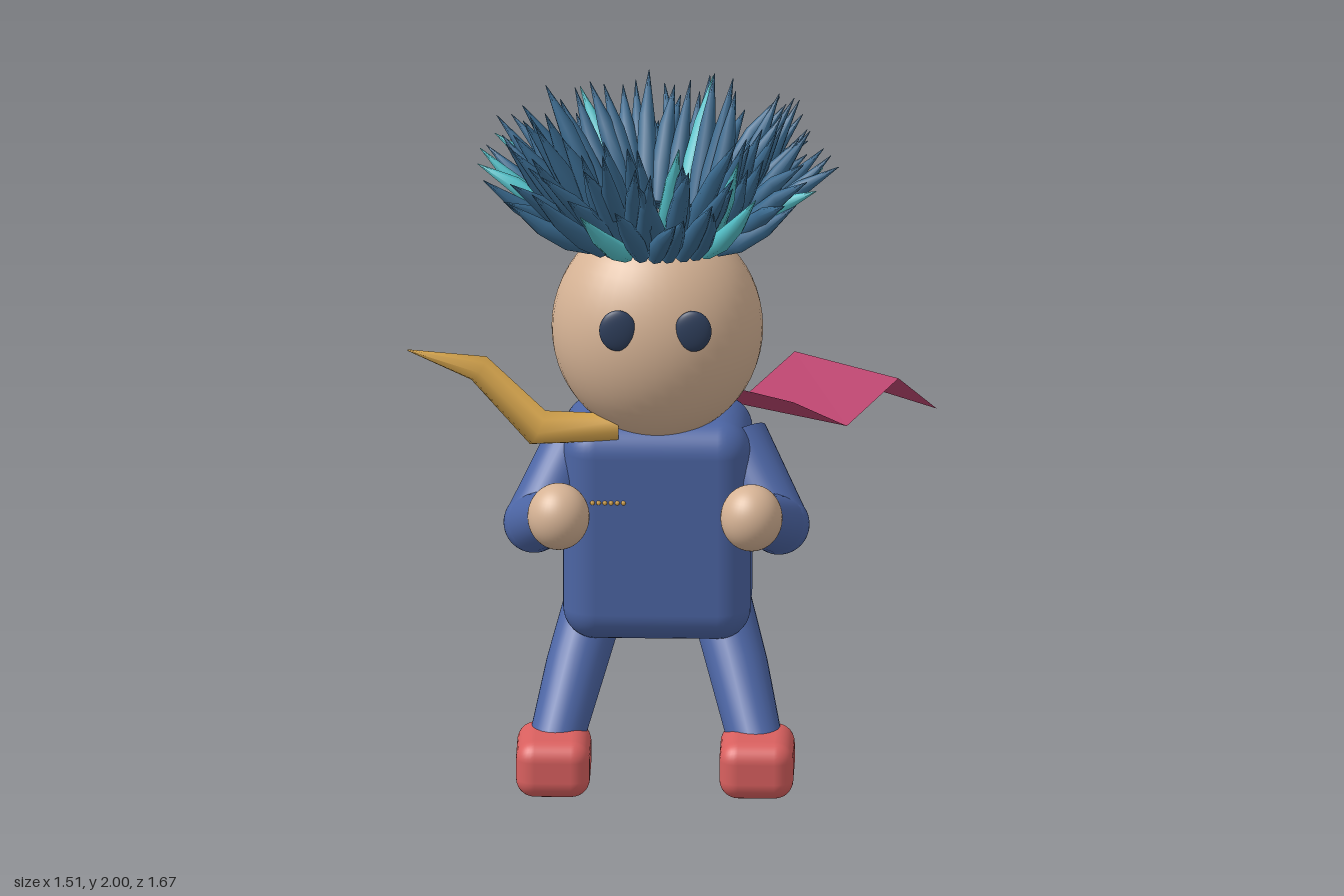
import * as THREE from 'three';
import { RoundedBoxGeometry } from 'three/addons/geometries/RoundedBoxGeometry.js';

const CX = -0.035; // mirror plane of the body

function mat(name, color, side = THREE.FrontSide) {
  const m = new THREE.MeshStandardMaterial({ color, side });
  m.name = name;
  return m;
}

// Sweeps a round section with varying radius along a polyline, with caps
function sweep(points, radii, sides = 16) {
  const pts = points.map((p) => new THREE.Vector3(...p));
  const n = pts.length;
  const dir = pts[n - 1].clone().sub(pts[0]);
  const abs = [Math.abs(dir.x), Math.abs(dir.y), Math.abs(dir.z)];
  const ref = new THREE.Vector3().setComponent(abs.indexOf(Math.min(...abs)), 1);
  const pos = [], idx = [];
  const rings = pts.map((p, i) => {
    const t = new THREE.Vector3();
    if (i > 0) t.add(p.clone().sub(pts[i - 1]).normalize());
    if (i < n - 1) t.add(pts[i + 1].clone().sub(p).normalize());
    t.normalize();
    const u = ref.clone().addScaledVector(t, -ref.dot(t)).normalize();
    const v = t.clone().cross(u);
    const ring = [];
    for (let j = 0; j < sides; j++) {
      const a = (j / sides) * Math.PI * 2;
      ring.push(p.clone().addScaledVector(u, Math.cos(a) * radii[i]).addScaledVector(v, Math.sin(a) * radii[i]));
    }
    return ring;
  });
  rings.forEach((r) => r.forEach((q) => pos.push(q.x, q.y, q.z)));
  for (let i = 0; i < n - 1; i++) {
    for (let j = 0; j < sides; j++) {
      const k = (j + 1) % sides;
      const a = i * sides + j, b = i * sides + k;
      idx.push(a, b, a + sides, b, b + sides, a + sides);
    }
  }
  for (const end of [0, n - 1]) {
    const base = pos.length / 3;
    rings[end].forEach((q) => pos.push(q.x, q.y, q.z));
    for (let j = 1; j < sides - 1; j++) {
      if (end === 0) idx.push(base, base + j + 1, base + j);
      else idx.push(base, base + j, base + j + 1);
    }
  }
  const g = new THREE.BufferGeometry();
  g.setAttribute('position', new THREE.Float32BufferAttribute(pos, 3));
  g.setIndex(idx);
  g.computeVertexNormals();
  return g;
}

export function createModel() {
  const model = new THREE.Group();
  model.name = 'figure';
  const skin = mat('skin', 0xd6b395);
  const blue = mat('suit blue', 0x4c65a4);
  const red = mat('shoe red', 0xd9605f);
  const gold = mat('gold', 0xdaa84f);
  const pink = mat('scarf pink', 0xb9446e, THREE.DoubleSide);
  const navy = mat('eye navy', 0x2f3f5c);
  const grey = mat('pad grey', 0xc9c4bb);
  const hairBlue = mat('hair blue', 0x3a6a8f);
  const hairCyan = mat('hair cyan', 0x55c2ca);

  function add(name, geometry, material, p = [0, 0, 0], s = [1, 1, 1], parent = model) {
    const m = new THREE.Mesh(geometry, material);
    m.name = name;
    m.position.set(...p);
    m.scale.set(...s);
    parent.add(m);
    return m;
  }

  // Head and torso
  const ball = new THREE.SphereGeometry(1, 40, 28);
  add('head', ball, skin, [CX, 1.335, 0.358], [0.307, 0.33, 0.26]);
  add('torso', new RoundedBoxGeometry(0.545, 0.665, 0.4, 5, 0.095), blue, [CX, 0.733, 0.3]);

  // Paired parts, mirrored about the body plane
  for (const s of [1, -1]) {
    const side = s > 0 ? 'left' : 'right';
    const at = (dx, y, z) => [CX + s * dx, y, z];
    add(side + 'Eye', ball, navy, at(0.109, 1.4, 0.598), [0.054, 0.062, 0.018]);

    const arm = [at(0.23, 0.98, 0.315), at(0.355, 0.765, 0.455), at(0.28, 0.845, 0.64)];
    add(side + 'UpperArm', sweep([arm[0], arm[1]], [0.092, 0.088], 24), blue);
    add(side + 'Elbow', ball, blue, arm[1], [0.089, 0.089, 0.089]);
    add(side + 'Forearm', sweep([arm[1], arm[2]], [0.088, 0.075], 24), blue);
    add(side + 'Hand', ball, skin, arm[2], [0.09, 0.098, 0.09]);

    add(side + 'Leg', sweep(
      [at(0.185, 0.46, 0.285), at(0.235, 0.31, 0.4), at(0.295, 0.11, 0.56)],
      [0.09, 0.088, 0.078], 24), blue);
    add(side + 'CalfPad', new RoundedBoxGeometry(0.13, 0.1, 0.1, 3, 0.022), grey, at(0.235, 0.312, 0.34));
    add(side + 'Shoe', new RoundedBoxGeometry(0.215, 0.17, 0.275, 4, 0.055), red, at(0.295, 0.088, 0.597));
  }

  // Pointed gold collar end
  add('goldCollarEnd', sweep(
    [[-0.145, 1.055, 0.45], [-0.38, 1.055, 0.455], [-0.55, 1.24, 0.47], [-0.757, 1.3, 0.49]],
    [0.042, 0.056, 0.042, 0.002], 8), gold);

  // Plain row of beads on the chest
  const beads = new THREE.Group();
  beads.name = 'chestBeads';
  model.add(beads);
  for (let i = 0; i < 6; i++) {
    add('bead', new THREE.SphereGeometry(0.007, 8, 6), gold, [-0.22 + i * 0.018, 0.84, 0.5], [1, 1, 0.6], beads);
  }

  // Scarf: wavy strip given as pairs of edge points
  const edges = [
    [[-0.16, 1.1, -0.06], [0.19, 1.09, 0.19]],
    [[0.01, 0.975, -0.21], [0.35, 0.975, -0.03]],
    [[0.175, 0.83, -0.45], [0.5, 0.83, -0.25]],
    [[0.338, 0.91, -0.69], [0.645, 0.91, -0.45]],
    [[0.47, 0.78, -0.83], [0.753, 0.78, -0.565]],
  ];
  const strip = [];
  for (let i = 0; i < edges.length - 1; i++) {
    const [a, b] = edges[i], [c, d] = edges[i + 1];
    strip.push(...a, ...b, ...c, ...b, ...d, ...c);
  }
  const scarf = new THREE.BufferGeometry();
  scarf.setAttribute('position', new THREE.Float32BufferAttribute(strip, 3));
  scarf.computeVertexNormals();
  add('scarf', scarf, pink);

  // Hair: rings of bent spikes flaring out around a bare crown
  let seed = 11;
  const rnd = () => (seed = (seed * 16807) % 2147483647) / 2147483647;
  const hair = new THREE.Group();
  hair.name = 'hair';
  model.add(hair);
  const layers = [
    { r: 0.195, y: 1.64, el: 62, len: 0.37, n: 36 },
    { r: 0.22, y: 1.63, el: 51, len: 0.36, n: 38 },
    { r: 0.245, y: 1.615, el: 37, len: 0.325, n: 38 },
  ];
  layers.forEach((L, li) => {
    for (let i = 0; i < L.n; i++) {
      const a = ((i + li / 3 + (rnd() - 0.5) * 0.5) / L.n) * Math.PI * 2;
      const el = THREE.MathUtils.degToRad(L.el + (rnd() - 0.5) * 14);
      const len = L.len * (0.88 + rnd() * 0.24);
      const twist = (rnd() - 0.5) * 0.5;
      const bend = (rnd() - 0.5) * 0.05;
      const pts = [0, 0.3, 0.62, 1].map((t) => {
        const out = len * t * Math.cos(el);
        const b = a + twist * t * 0.6;
        const rad = L.r + out;
        return [
          CX + Math.cos(b) * rad,
          Math.min(2, L.y + len * t * Math.sin(el) + bend * Math.sin(t * Math.PI)),
          0.325 + Math.sin(b) * rad * 0.96,
        ];
      });
      const cyan = rnd() < (li === 2 ? 0.24 : 0.06);
      add('hairSpike', sweep(pts, [0.023, 0.031, 0.024, 0.001], 7), cyan ? hairCyan : hairBlue, [0, 0, 0], [1, 1, 1], hair);
    }
  });

  return model;
}
